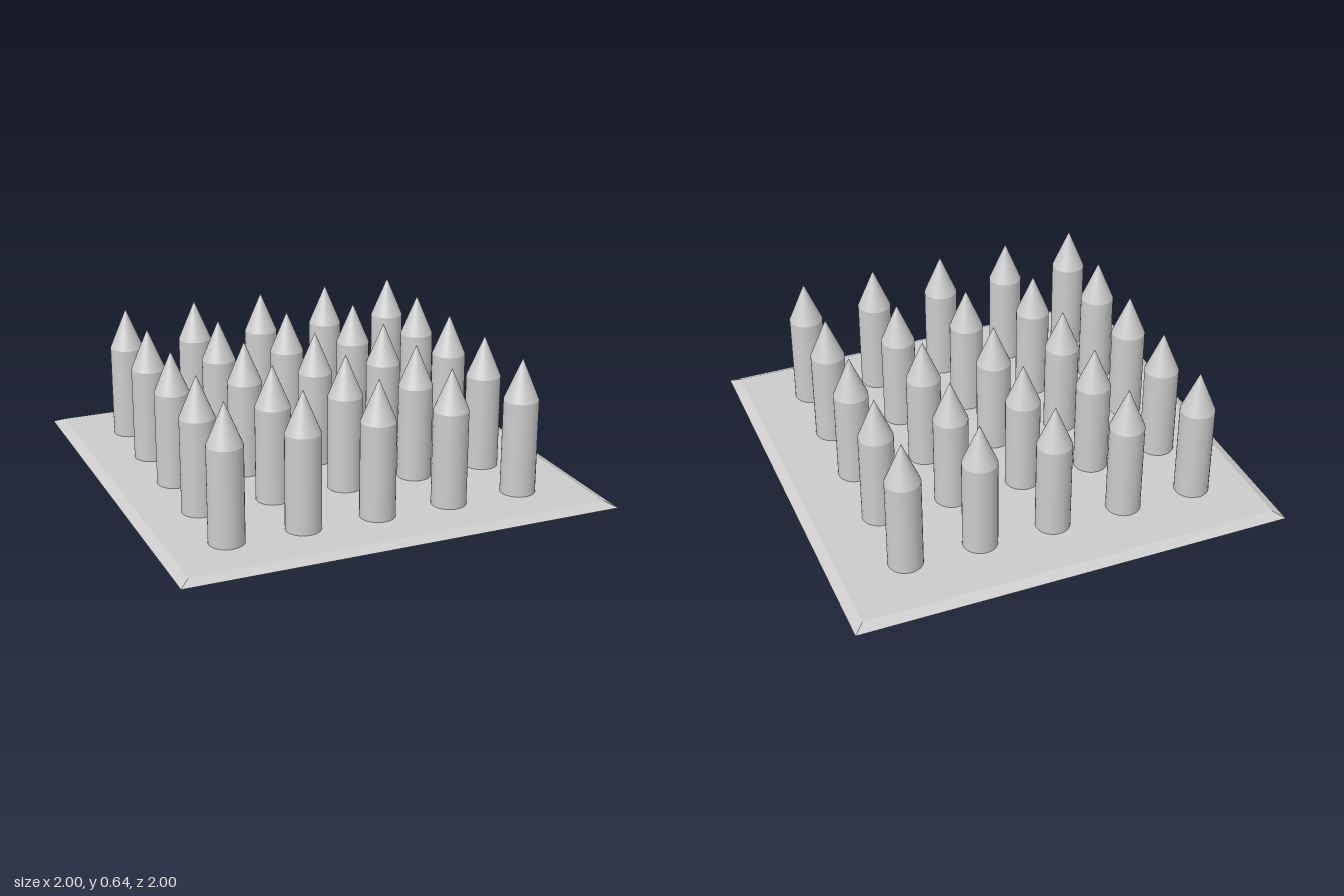
import * as THREE from 'three';

const PLATE_HEIGHT = 0.022, BEVEL = 0.045;
const RADIUS = 0.078, SHOULDER = 0.452, TIP = 0.64;
const ROWS = 5, SPACING = 0.342, START_X = -0.703, START_Z = -0.665;

export function createModel() {
  const model = new THREE.Group();
  model.name = 'spikeTrap';
  const smooth = new THREE.MeshStandardMaterial({ color: 0xcccccc });
  const flat = new THREE.MeshStandardMaterial({ color: 0xcccccc, flatShading: true });

  // Square plate with bevelled edges: a four-sided frustum
  const plateGeo = new THREE.CylinderGeometry(
    (1 - BEVEL) * Math.SQRT2, Math.SQRT2, PLATE_HEIGHT, 4);
  plateGeo.rotateY(Math.PI / 4).translate(0, PLATE_HEIGHT / 2, 0);
  const plate = new THREE.Mesh(plateGeo, flat);
  plate.name = 'basePlate';
  model.add(plate);

  // Round shaft and pointed tip, shared by every spike
  const shaftHeight = SHOULDER - PLATE_HEIGHT;
  const shaftGeo = new THREE.CylinderGeometry(RADIUS, RADIUS, shaftHeight, 32, 1, true);
  shaftGeo.translate(0, PLATE_HEIGHT + shaftHeight / 2, 0);
  const tipGeo = new THREE.ConeGeometry(RADIUS, TIP - SHOULDER, 32, 1, true);
  tipGeo.translate(0, (SHOULDER + TIP) / 2, 0);

  // Grid of spikes, slightly off centre on the plate
  for (let row = 0; row < ROWS; row++) {
    for (let col = 0; col < ROWS; col++) {
      const spike = new THREE.Group();
      spike.name = `spike_${row + 1}_${col + 1}`;
      const shaft = new THREE.Mesh(shaftGeo, smooth);
      shaft.name = 'shaft';
      const tip = new THREE.Mesh(tipGeo, smooth);
      tip.name = 'tip';
      spike.add(shaft, tip);
      spike.position.set(START_X + col * SPACING, 0, START_Z + row * SPACING);
      model.add(spike);
    }
  }
  return model;
}
